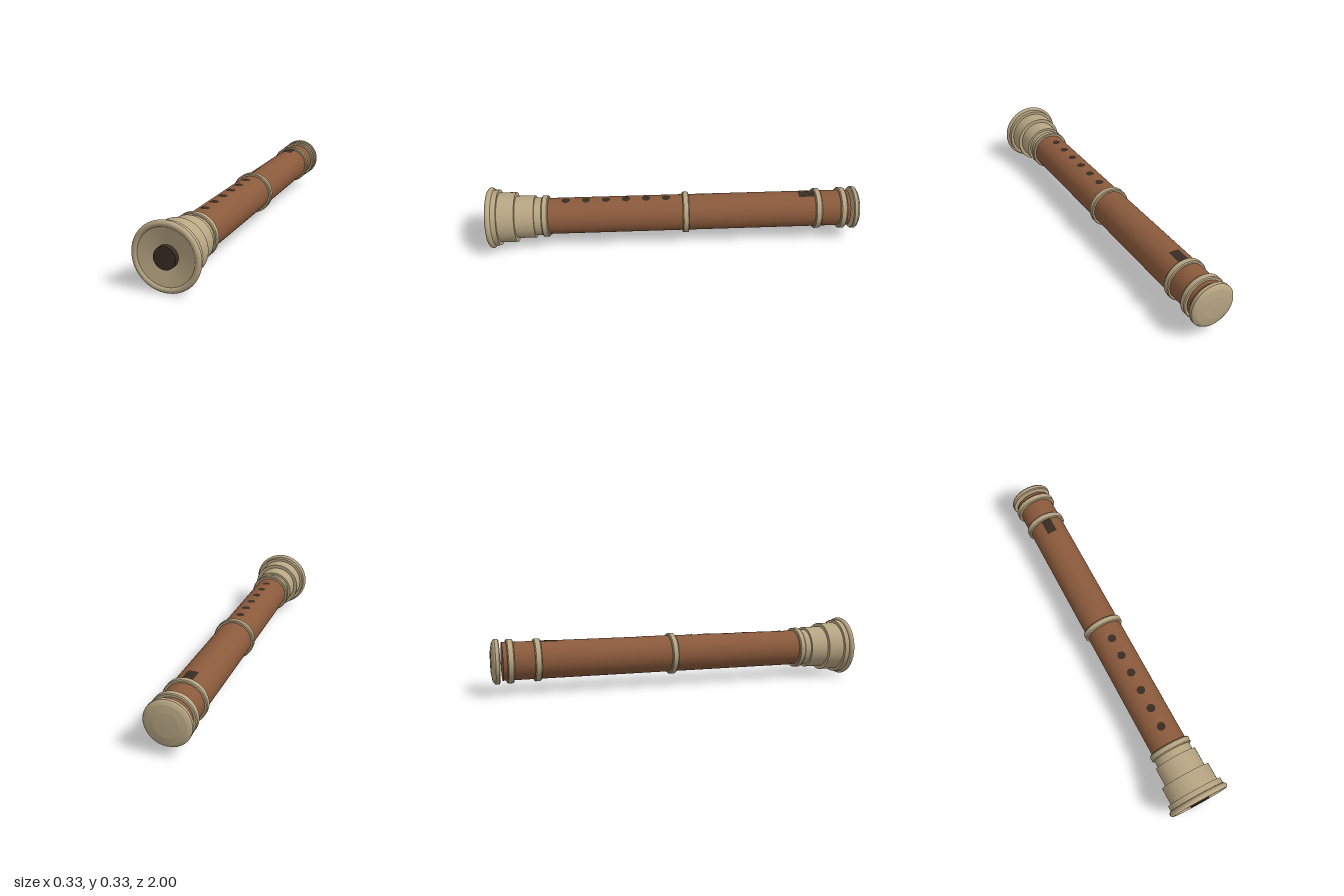
import * as THREE from 'three';
import { mergeGeometries } from 'three/addons/utils/BufferGeometryUtils.js';

const AXIS = 0.163, R = 0.097;

export function createModel() {
  const model = new THREE.Group();
  model.name = 'flute';
  const material = (name, color, side = THREE.FrontSide) => {
    const m = new THREE.MeshStandardMaterial({ color, side });
    m.name = name;
    return m;
  };
  const wood = material('wood', 0x8b5a3c);
  const bone = material('bone', 0xb8a683);
  const dark = material('dark bore', 0x382c22, THREE.DoubleSide);

  const add = (name, geometry, mat) => {
    const mesh = new THREE.Mesh(geometry, mat);
    mesh.name = name;
    mesh.position.y = AXIS;
    model.add(mesh);
  };

  // Turned part along z from [radius, z] points; every segment keeps sharp ends
  const turned = (points) => {
    const parts = [];
    for (let i = 1; i < points.length; i++) {
      const pair = [points[i - 1], points[i]].map(([r, z]) => new THREE.Vector2(r, z));
      parts.push(new THREE.LatheGeometry(pair, 64).rotateX(Math.PI / 2));
    }
    return mergeGeometries(parts);
  };

  // Lays a flat shape (x across, y along -z) onto the tube's top
  const wrapped = (geometry, z, lift) => {
    const p = geometry.attributes.position;
    for (let i = 0; i < p.count; i++) {
      const a = p.getX(i) / R, along = p.getY(i);
      p.setXYZ(i, Math.sin(a) * (R + lift), Math.cos(a) * (R + lift), z - along);
    }
    geometry.computeVertexNormals();
    return geometry;
  };

  // Wooden tube
  add('tube', turned([[0, -0.943], [R, -0.943], [R, 0.72], [0, 0.72]]), wood);

  // Binding rings with softened edges
  for (const [z, r] of [[0.695, 0.112], [-0.055, 0.11], [-0.77, 0.109], [-0.905, 0.112]]) {
    add('bindingRing', turned([
      [R - 0.004, z - 0.017], [r - 0.004, z - 0.017], [r, z - 0.012],
      [r, z + 0.012], [r - 0.004, z + 0.017], [R - 0.004, z + 0.017],
    ]), bone);
  }

  // Stepped bell with a shallow dished face
  add('bell', turned([
    [0.09, 0.70], [0.101, 0.70], [0.101, 0.75], [0.114, 0.75], [0.114, 0.85],
    [0.134, 0.85], [0.134, 0.94], [0.15, 0.94], [0.15, 0.985], [0.136, 0.988], [0.04, 0.972],
  ]), bone);
  add('bellRim', new THREE.TorusGeometry(0.1483, 0.0147, 16, 64).translate(0, 0, 0.982), bone);
  add('bellBore', turned([[0.053, 0.97], [0.053, 0.999], [0, 0.999]]), dark);

  // Domed end cap, set just off the tube
  add('endCap', turned([
    [0, -1], [0.06, -0.998], [0.095, -0.992], [0.109, -0.985],
    [0.114, -0.978], [0.114, -0.962], [0.11, -0.957], [0, -0.957],
  ]), bone);

  // Six finger holes
  for (let i = 0; i < 6; i++) {
    add('fingerHole', wrapped(new THREE.CircleGeometry(0.022, 24), 0.05 + i * 0.1068, 0.0015), dark);
  }

  // Sound window and raised tongue
  add('soundWindow', wrapped(new THREE.PlaneGeometry(0.054, 0.09, 8, 1), -0.712, 0.0012), dark);
  add('tongue', wrapped(new THREE.PlaneGeometry(0.054, 0.18, 8, 1), -0.148, 0.0012), wood);

  return model;
}
